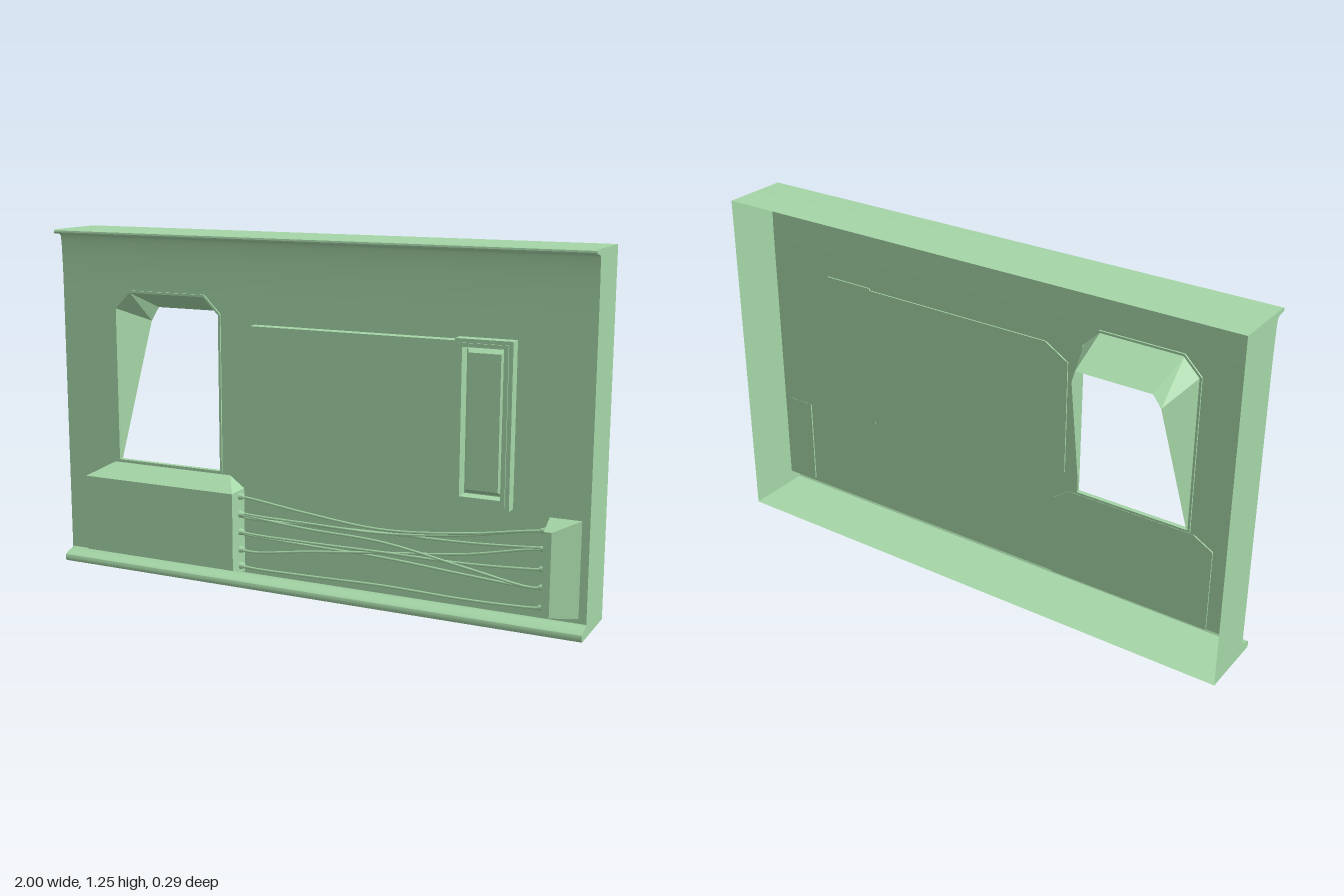
import * as THREE from 'three';
import { toCreasedNormals } from 'three/addons/utils/BufferGeometryUtils.js';
import { ConvexGeometry } from 'three/addons/geometries/ConvexGeometry.js';

const WALL = 0.056, BACK = -0.145;
const green = new THREE.MeshStandardMaterial({ color: 0xa5d6a7, side: THREE.DoubleSide });
const greenFlat = green.clone();
greenFlat.flatShading = true;

export function createModel() {
  const model = new THREE.Group();
  const add = (name, geometry, material = green, parent = model) => {
    const mesh = new THREE.Mesh(geometry, material);
    mesh.name = name;
    parent.add(mesh);
    return mesh;
  };
  const toShape = pts => new THREE.Shape(pts.map(p => new THREE.Vector2(...p)));

  // sheet bent along a [z, y] profile over the full width
  const sheet = profile => {
    const g = new THREE.PlaneGeometry(2, 1, 1, profile.length - 1);
    const pos = g.attributes.position;
    for (let i = 0; i < pos.count; i++) {
      const [z, y] = profile[Math.floor(i / 2)];
      pos.setXYZ(i, pos.getX(i), y, z);
    }
    return toCreasedNormals(g, 0.6);
  };

  // convex block from a back outline and a front outline
  const block = (back, zBack, front, zFront) => new ConvexGeometry([
    ...back.map(([x, y]) => new THREE.Vector3(x, y, zBack)),
    ...front.map(([x, y]) => new THREE.Vector3(x, y, zFront)),
  ]);

  const rect = (x0, y0, x1, y1) => [[x0, y0], [x1, y0], [x1, y1], [x0, y1]];

  // extruded plate between two depths, with an optional hole
  const plate = (pts, z0, z1, hole) => {
    const s = toShape(pts);
    if (hole) s.holes.push(toShape(hole));
    return new THREE.ExtrudeGeometry(s, { depth: z1 - z0, bevelEnabled: false }).translate(0, 0, z0);
  };

  // shell: top and bottom with rounded lips, side walls, front wall
  const topProfile = [[BACK, 1.25], [0.098, 1.25], [0.104, 1.247], [0.105, 1.241], [0.101, 1.236],
    [0.08, 1.234], [0.069, 1.231], [0.063, 1.224], [0.06, 1.2], [0.058, 1.15], [0.0565, 1.1], [WALL, 1.05]];
  const bottomProfile = [[WALL, 0.045], [0.064, 0.039], [0.095, 0.03], [0.103, 0.024], [0.106, 0.015],
    [0.105, 0.006], [0.1, 0], [BACK, 0]];
  add('topLip', sheet(topProfile));
  add('bottomLip', sheet(bottomProfile));
  for (const side of [-1, 1]) {
    const g = new THREE.ShapeGeometry(toShape([...topProfile, ...bottomProfile]));
    g.rotateY(-Math.PI / 2).translate(side, 0, 0);
    add(side > 0 ? 'leftWall' : 'rightWall', g, greenFlat);
  }

  const opening = [[-0.77, 0.41], [-0.345, 0.41], [-0.345, 0.97], [-0.405, 1.03], [-0.71, 1.03], [-0.77, 0.97]];
  const wallShape = toShape(rect(-1, 0.045, 1, 1.05));
  wallShape.holes.push(toShape(opening));
  add('frontWall', new THREE.ShapeGeometry(wallShape).translate(0, 0, WALL));

  // window: thin rim and a reveal that deepens toward the top
  const rim = [[-0.778, 0.402], [-0.337, 0.402], [-0.337, 0.973], [-0.402, 1.038], [-0.713, 1.038], [-0.778, 0.973]];
  add('windowRim', plate(rim, 0.05, 0.062, opening), greenFlat);
  const inner = [[-0.765, 0.412], [-0.35, 0.412], [-0.395, 0.91], [-0.415, 0.96], [-0.695, 0.96], [-0.718, 0.91]];
  const reveal = [];
  opening.forEach((a, i) => {
    const j = (i + 1) % opening.length;
    const front = k => [...opening[k], 0.06];
    const back = k => [...inner[k], 0.05 - 0.16 * (inner[k][1] - 0.412) / 0.548];
    reveal.push(...front(i), ...back(j), ...front(j), ...front(i), ...back(i), ...back(j));
  });
  const revealGeo = new THREE.BufferGeometry();
  revealGeo.setAttribute('position', new THREE.Float32BufferAttribute(reveal, 3));
  revealGeo.computeVertexNormals();
  add('windowReveal', revealGeo, greenFlat);

  // raised panel with clipped corners
  const panel = [[-0.29, 0.47], [-0.2, 0.413], [0.55, 0.413], [0.55, 0.945], [-0.2, 0.945], [-0.29, 0.89]];
  add('raisedPanel', plate(panel, 0.051, 0.097), greenFlat);

  // narrow display: stepped frame around a recessed, slightly domed lens
  add('displayFrame', plate(rect(0.548, 0.4, 0.744, 0.953), 0.051, 0.1, rect(0.575, 0.435, 0.715, 0.927)), greenFlat);
  add('displayTrim', plate(rect(0.56, 0.413, 0.73, 0.94), 0.098, 0.105, rect(0.575, 0.435, 0.715, 0.927)), greenFlat);
  add('displayLens', block(rect(0.575, 0.435, 0.715, 0.927), 0.051, rect(0.59, 0.455, 0.7, 0.907), 0.085), greenFlat);

  // equipment box below the window
  const boxBack = [[-0.865, 0.045], [-0.25, 0.045], [-0.25, 0.357], [-0.31, 0.4], [-0.79, 0.4], [-0.865, 0.357]];
  add('equipmentBox', block(boxBack, 0.051, rect(-0.865, 0.075, -0.25, 0.355), 0.145), greenFlat);

  // wedge shaped junction at the other end of the cables
  add('junctionWedge', block(rect(0.867, 0.06, 0.98, 0.39), 0.051, rect(0.867, 0.07, 0.893, 0.355), 0.118), greenFlat);

  // cables: left height, middle height, right height, depth
  const cables = new THREE.Group();
  cables.name = 'cables';
  model.add(cables);
  [
    [0.335, 0.283, 0.35, 0.092], [0.275, 0.268, 0.35, 0.086], [0.262, 0.268, 0.295, 0.08],
    [0.268, 0.24, 0.16, 0.095], [0.205, 0.203, 0.222, 0.09], [0.2, 0.182, 0.16, 0.082],
    [0.14, 0.2, 0.288, 0.086], [0.08, 0.085, 0.092, 0.09],
  ].forEach(([a, m, b, z]) => {
    const path = new THREE.CatmullRomCurve3([
      [-0.25, a, 0.09], [-0.2, a - 0.004, 0.09], [0.02, (a + m) / 2 - 0.004, z], [0.3, m, z],
      [0.6, (m + b) / 2 - 0.008, z], [0.82, b - 0.005, 0.09], [0.87, b, 0.09],
    ].map(p => new THREE.Vector3(...p)));
    add('cable', new THREE.TubeGeometry(path, 32, 0.0045, 6), green, cables);
  });

  // plugs at both ends
  const plug = (x, y, dir) => {
    const g = new THREE.CylinderGeometry(0.008, 0.013, 0.02, 10).rotateZ(-dir * Math.PI / 2);
    add('plug', g, green, cables).position.set(x + dir * 0.008, y, 0.09);
  };
  for (const y of [0.335, 0.27, 0.205, 0.14, 0.08]) plug(-0.25, y, 1);
  for (const y of [0.35, 0.29, 0.222, 0.16, 0.092]) plug(0.867, y, -1);

  return model;
}
